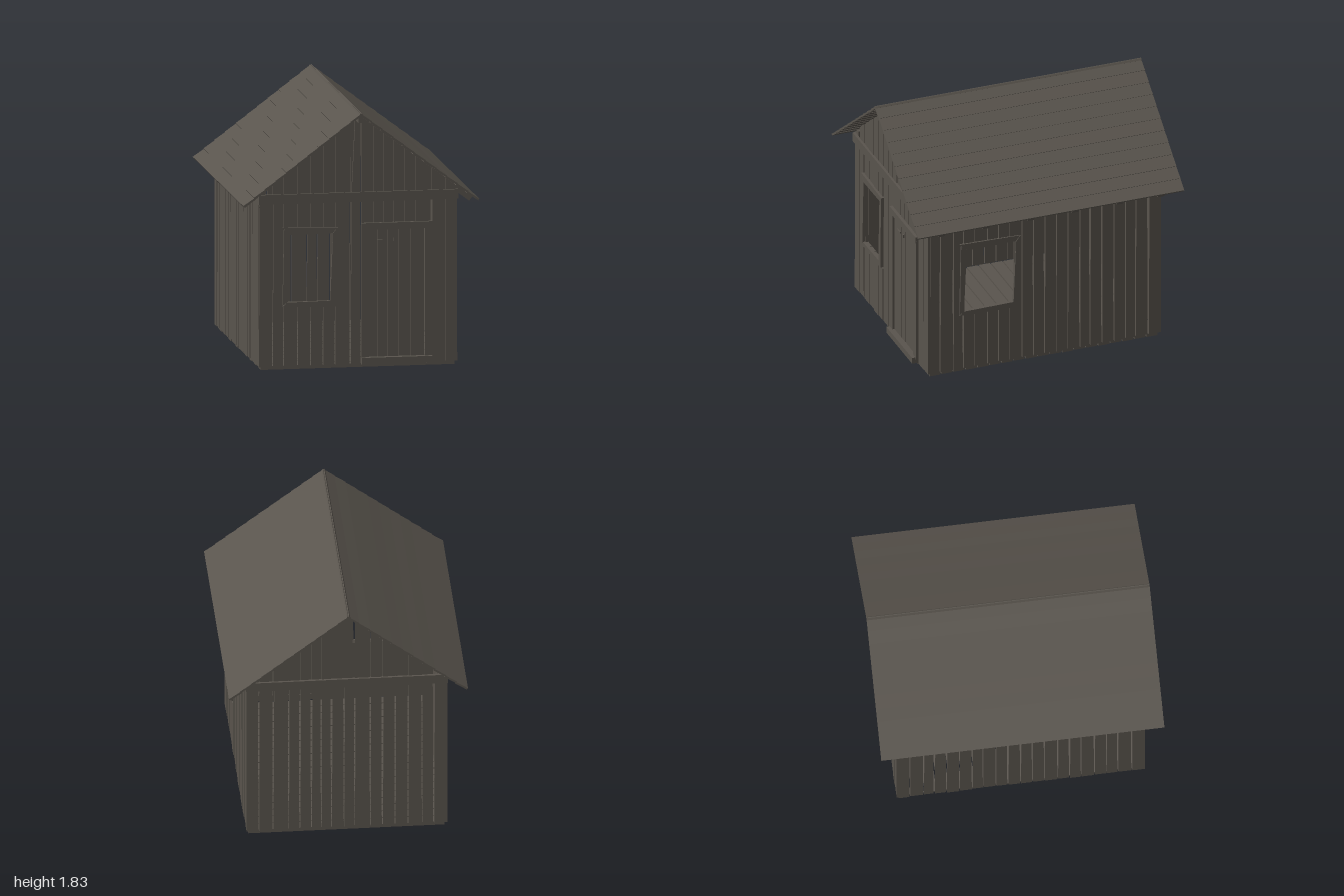
import * as THREE from 'three';

export function createModel() {
  const model = new THREE.Group();
  model.name = 'plankShed';
  const wood = new THREE.MeshStandardMaterial({ color: 0x59544d });
  wood.name = 'weatheredWood';

  let seed = 7;
  const rand = () => (seed = (seed * 16807) % 2147483647) / 2147483647;
  const jitter = (s) => (rand() - 0.5) * s;

  const group = (name, parent = model) => {
    const g = new THREE.Group();
    g.name = name;
    parent.add(g);
    return g;
  };
  const box = (parent, name, w, h, d, x, y, z) => {
    const m = new THREE.Mesh(new THREE.BoxGeometry(w, h, d), wood);
    m.name = name;
    m.position.set(x, y, z);
    parent.add(m);
    return m;
  };
  // Flat board cut to an outline (counter-clockwise), centred on depth z
  const plate = (parent, name, pts, depth, z = 0) => {
    const shape = new THREE.Shape(pts.map((p) => new THREE.Vector2(p[0], p[1])));
    const geo = new THREE.ExtrudeGeometry(shape, { depth, bevelEnabled: false });
    const m = new THREE.Mesh(geo, wood);
    m.name = name;
    m.position.z = z - depth / 2;
    parent.add(m);
    return m;
  };
  const rect = (a, b, c, d) => [[a, c], [b, c], [b, d], [a, d]];

  // Wall of upright boards; openings are [x0, x1, y0, y1]
  const T = 0.02, LOW = 0.026;
  const wall = (g, seams, top, openings = []) => {
    for (let i = 0; i < seams.length - 1; i++) {
      const a = seams[i] + 0.002 + rand() * 0.003, b = seams[i + 1] - 0.002 - rand() * 0.003;
      const z = jitter(0.005), low = LOW + jitter(0.008);
      const hole = openings.find((o) => a < o[1] && b > o[0]);
      if (!hole) {
        plate(g, 'wallBoard', [[a, low], [b, low], [b - rand() * 0.006, top], [a + rand() * 0.006, top]], T, z);
        continue;
      }
      const [x0, x1, y0, y1] = hole;
      if (y0 > low + 0.01) plate(g, 'wallBoard', rect(a, b, low, y0), T, z);
      plate(g, 'wallBoard', rect(a, b, y1, top), T, z);
      if (a < x0 - 0.003) plate(g, 'wallBoard', rect(a, x0, y0, y1), T, z);
      if (b > x1 + 0.003) plate(g, 'wallBoard', rect(x1, b, y0, y1), T, z);
    }
  };

  // Crooked four-board window surround
  const windowFrame = (parent, [x0, x1, y0, y1], z) => {
    const g = group('windowFrame', parent), w = 0.04, d = 0.022;
    plate(g, 'frameTop', [[x0 - 0.01, y1 - 0.005], [x1 + 0.005, y1], [x1 + w, y1 + w], [x0 - w, y1 + w + 0.01]], d, z);
    plate(g, 'frameBottom', [[x0 - w, y0 - w + 0.01], [x1 + w, y0 - w], [x1, y0 + 0.005], [x0 - 0.01, y0]], d, z);
    plate(g, 'frameLeft', [[x0 - w, y0 - 0.02], [x0 - 0.01, y0], [x0 + 0.012, y1], [x0 - w + 0.01, y1 + w]], d, z + 0.003);
    plate(g, 'frameRight', [[x1 - 0.012, y0], [x1 + w - 0.01, y0 - 0.03], [x1 + w, y1 + w], [x1 + 0.008, y1]], d, z + 0.003);
  };

  const endSeams = [-0.71, -0.61, -0.53, -0.43, -0.34, -0.25, -0.165, -0.055, 0.02, 0.11, 0.18, 0.25, 0.33, 0.41, 0.52, 0.62, 0.71];
  const sideSeams = [];
  for (let i = 0; i <= 20; i++) sideSeams.push(-0.865 + i * 0.0865 + (i % 20 ? jitter(0.014) : 0));

  // Front wall with window and doorway
  const front = group('frontWall');
  front.position.z = 0.867;
  const frontWindow = [-0.5, -0.19, 0.48, 0.965];
  wall(front, endSeams, 1.22, [frontWindow, [0.05, 0.49, LOW - 0.01, 1.0]]);
  windowFrame(front, frontWindow, 0.016);

  // Back wall
  const back = group('backWall');
  back.position.z = -0.867;
  wall(back, endSeams, 1.22);

  // Side walls; the left one has a window
  const left = group('leftWall');
  left.rotation.y = Math.PI / 2;
  left.position.x = 0.697;
  const sideWindow = [-0.6, -0.225, 0.48, 0.965];
  wall(left, sideSeams, 1.26, [sideWindow]);
  windowFrame(left, sideWindow, 0.008);
  const right = group('rightWall');
  right.rotation.y = Math.PI / 2;
  right.position.x = -0.697;
  wall(right, sideSeams, 1.26);

  // Gables with one split gap near the peak, plus the tie beams
  const roofLine = (x) => 1.8 - 0.755 * Math.abs(x);
  for (const s of [1, -1]) {
    const g = group(s > 0 ? 'frontGable' : 'backGable');
    g.position.z = s * 0.867;
    for (let i = 1; i < endSeams.length - 1; i++) {
      const a = endSeams[i] + 0.003, b = endSeams[i + 1] - 0.003;
      let pts = [[a, 1.19], [b, 1.19], [b, roofLine(b)], [a, roofLine(a)]];
      if (a < 0 && b > 0) pts = [[a + 0.003, 1.19], [b, 1.19], [b, roofLine(b)], [0, 1.8], [-0.02, roofLine(0.02)]];
      plate(g, 'gableBoard', pts, T, jitter(0.005));
    }
    box(g, 'tieBeam', 1.42, 0.068, 0.02, 0, 1.216, s * 0.016);
  }

  // Plank door with surround, handle and threshold
  const door = group('door');
  const doorSeams = [0.07, 0.14, 0.21, 0.285, 0.37, 0.47];
  for (let i = 0; i < 5; i++) {
    plate(door, 'doorBoard', rect(doorSeams[i] + 0.002, doorSeams[i + 1] - 0.002, 0.07, 0.982), 0.02, 0.87 + jitter(0.004));
  }
  box(door, 'doorPostInner', 0.05, 0.94, 0.024, 0.046, 0.53, 0.885);
  box(door, 'doorPostOuter', 0.055, 0.94, 0.024, 0.499, 0.53, 0.885);
  box(door, 'doorLintel', 0.505, 0.048, 0.026, 0.273, 1.005, 0.886);
  box(door, 'handleBar', 0.06, 0.012, 0.01, 0.165, 0.9, 0.884);
  box(door, 'handlePlate', 0.012, 0.026, 0.01, 0.255, 0.905, 0.884);
  box(door, 'threshold', 0.5, 0.045, 0.065, 0.27, 0.052, 0.89);

  // Floor boards running across
  const floor = group('floor');
  const n = 19, pitch = 1.72 / n;
  for (let i = 0; i < n; i++) {
    box(floor, 'floorBoard', 1.375 + jitter(0.012), 0.026, pitch - 0.006 - rand() * 0.005, jitter(0.008), 0.013, -0.86 + (i + 0.5) * pitch);
  }

  // Two roof slopes of lapped planks over rafters
  const angle = Math.atan(0.755), rows = 11, step = 1.052 / rows;
  for (const s of [1, -1]) {
    const side = group(s > 0 ? 'leftRoof' : 'rightRoof');
    if (s < 0) side.rotation.y = Math.PI;
    const slope = group('roofSlope', side);
    slope.position.y = 1.832;
    slope.rotation.z = -angle;
    for (let i = 0; i < rows; i++) {
      const p = box(slope, 'roofPlank', step + 0.005, 0.014, 2, (i + 0.5) * step, -0.01, 0);
      p.rotation.z = 0.05 + jitter(0.04);
    }
    for (const z of [0.81, 0.475, 0.14, -0.195, -0.53, -0.84]) {
      box(slope, 'rafter', 1.0, 0.042, 0.05, 0.545, -0.039, s * z);
    }
  }
  box(model, 'ridgeBeam', 0.035, 0.05, 1.96, 0, 1.785, 0);

  return model;
}
